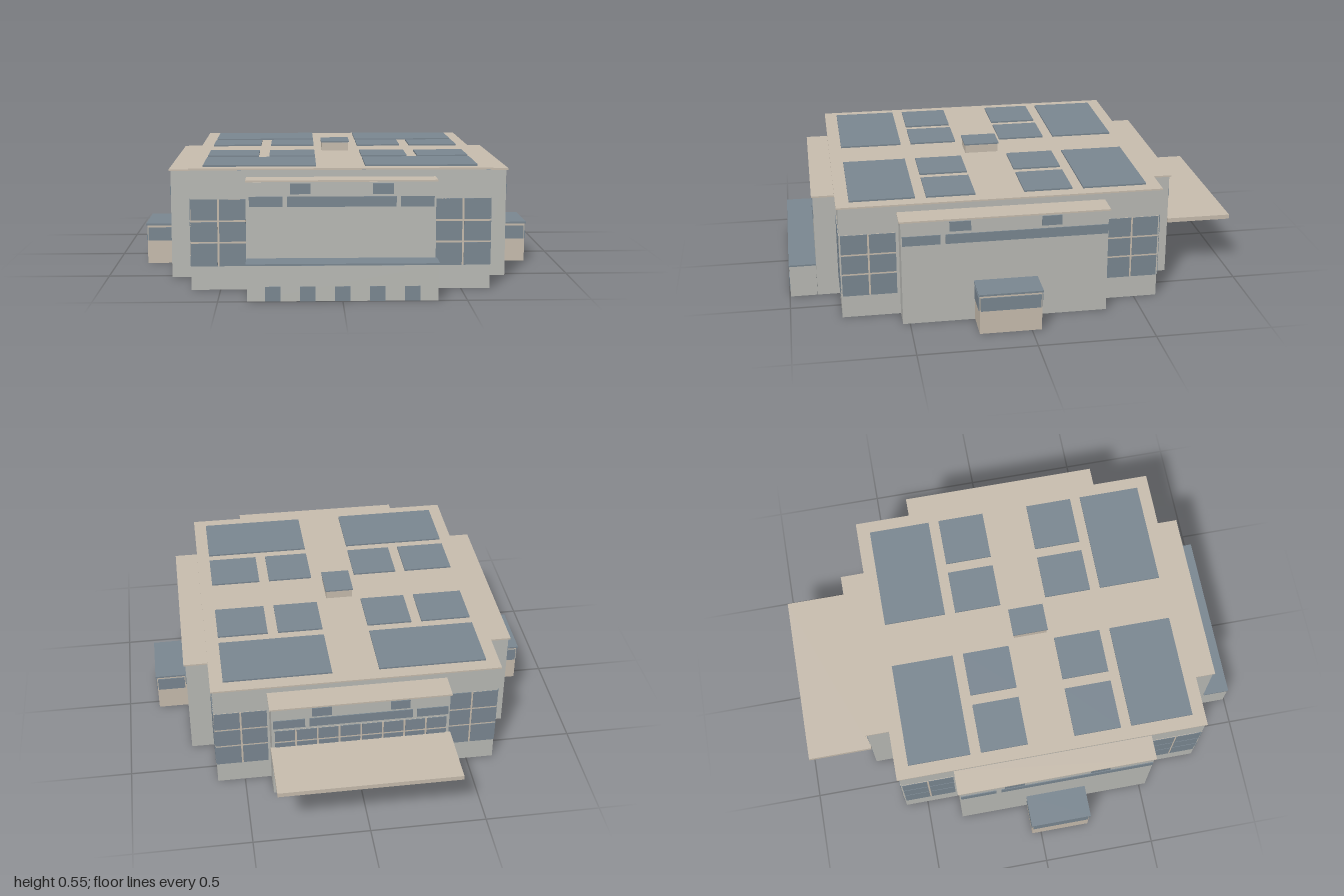
import * as THREE from 'three';

export function createModel() {
  const model = new THREE.Group();
  model.name = 'building';

  const mat = (name, color) => {
    const m = new THREE.MeshStandardMaterial({ color, side: THREE.DoubleSide });
    m.name = name;
    return m;
  };
  const wall = mat('pale grey wall', 0xbabbb6);
  const stone = mat('beige trim', 0xc9beaf);
  const glass = mat('blue grey glass', 0x7b8892);

  // Solid block given by its limits
  function block(name, x0, x1, y0, y1, z0, z1, material, parent = model) {
    const mesh = new THREE.Mesh(new THREE.BoxGeometry(x1 - x0, y1 - y0, z1 - z0), material);
    mesh.position.set((x0 + x1) / 2, (y0 + y1) / 2, (z0 + z1) / 2);
    mesh.name = name;
    parent.add(mesh);
    return mesh;
  }

  // Hollow block without a floor; the top has its own colour
  function shell(name, x0, x1, y0, y1, z0, z1, side, top, parent = model) {
    const mesh = block(name, x0, x1, y0, y1, z0, z1, [side, top], parent);
    const g = mesh.geometry;
    const index = Array.from(g.index.array);
    index.splice(18, 6);
    g.setIndex(index);
    g.clearGroups();
    g.addGroup(0, 12, 0);
    g.addGroup(12, 6, 1);
    g.addGroup(18, 12, 0);
    return mesh;
  }

  // Wall plane to hang plates on: local x runs along the wall, z points outward
  function facade(name, x, z, angle, parent = model) {
    const group = new THREE.Group();
    group.name = name;
    group.position.set(x, 0, z);
    group.rotation.y = angle;
    parent.add(group);
    return group;
  }
  const pane = (face, u0, u1, y0, y1) => block('windowPane', u0, u1, y0, y1, 0, 0.004, glass, face);

  // Window grid with beige mullions showing between the panes
  function windowGrid(face, u0, u1, columns, rows) {
    const y0 = rows[0][0], y1 = rows[rows.length - 1][1], gap = 0.008;
    block('mullions', u0, u1, y0, y1, 0, 0.002, stone, face);
    const w = (u1 - u0 + gap) / columns;
    for (let c = 0; c < columns; c++) {
      for (const [a, b] of rows) pane(face, u0 + c * w, u0 + (c + 1) * w - gap, a, b);
    }
  }

  // Main hall and its roof
  const CZ = 0.09;
  shell('mainHall', -0.62, 0.62, 0, 0.5, -0.6, 0.78, wall, glass);
  block('mainRoof', -0.627, 0.627, 0.501, 0.508, -0.609, 0.787, stone);

  // Corner windows of the main hall
  const cornerRows = [[0.1, 0.195], [0.203, 0.285], [0.293, 0.38]];
  const hallFaces = [
    facade('hallFront', 0, 0.78, 0), facade('hallBack', 0, -0.6, Math.PI),
    facade('hallLeft', 0.62, CZ, Math.PI / 2), facade('hallRight', -0.62, CZ, -Math.PI / 2),
  ];
  hallFaces.forEach((face, i) => {
    const [a, b] = i < 2 ? [0.393, 0.62] : [0.453, 0.685];
    windowGrid(face, a, b, 2, cornerRows);
    windowGrid(face, -b, -a, 2, cornerRows);
  });

  // Projecting wings on the four sides
  shell('frontWing', -0.383, 0.383, 0, 0.464, 0.78, 0.878, wall, stone);
  block('frontWingRoof', -0.39, 0.39, 0.465, 0.472, 0.781, 0.884, stone);
  shell('backWing', -0.383, 0.383, 0, 0.464, -0.71, -0.6, wall, stone);
  block('backWingRoof', -0.39, 0.39, 0.465, 0.472, -0.718, -0.601, stone);
  for (const s of [-1, 1]) {
    const xs = (a, b) => (s > 0 ? [a, b] : [-b, -a]);
    shell('sideWing', ...xs(0.62, 0.723), 0, 0.464, -0.35, 0.53, wall, stone);
    block('sideWingRoof', ...xs(0.621, 0.731), 0.465, 0.472, -0.357, 0.537, stone);

    // Side porch with a window band round three faces
    shell('sidePorch', ...xs(0.724, 0.862), 0, 0.174, -0.042, 0.222, stone, glass);
    block('sidePorchRoof', ...xs(0.725, 0.868), 0.175, 0.183, -0.047, 0.227, glass);
    const mid = 0.796 * s;
    pane(facade('porchFront', mid, 0.222, 0), -0.062, 0.062, 0.105, 0.165);
    pane(facade('porchBack', mid, -0.042, Math.PI), -0.062, 0.062, 0.105, 0.165);
    pane(facade('porchSide', 0.862 * s, CZ, s * Math.PI / 2), -0.128, 0.128, 0.105, 0.165);

    // Ribbon windows of the side wing
    const face = facade('sideWingFace', 0.723 * s, CZ, s * Math.PI / 2);
    pane(face, -0.435, -0.275, 0.36, 0.402);
    pane(face, -0.253, 0.438, 0.36, 0.402);
    pane(face, -0.237, -0.146, 0.415, 0.458);
    pane(face, 0.154, 0.24, 0.415, 0.458);
  }

  // Ribbon windows of the front and back wings
  const frontFace = facade('frontWingFace', 0, 0.878, 0);
  const backFace = facade('backWingFace', 0, -0.71, Math.PI);
  for (const face of [frontFace, backFace]) {
    pane(face, -0.222, 0.222, 0.363, 0.405);
    for (const s of [-1, 1]) {
      pane(face, s * 0.308 - 0.068, s * 0.308 + 0.068, 0.363, 0.405);
      pane(face, s * 0.168 - 0.042, s * 0.168 + 0.042, 0.415, 0.458);
    }
  }

  // Window wall and canopy at the back
  windowGrid(backFace, -0.37, 0.37, 8, [[0.1, 0.195], [0.203, 0.285], [0.293, 0.35]]);
  block('backCanopy', -0.39, 0.39, 0.242, 0.262, -1, -0.711, stone);

  // Low front annex with small windows at ground level
  shell('frontAnnex', -0.383, 0.383, 0, 0.144, 0.879, 0.996, wall, glass);
  block('frontAnnexRoof', -0.388, 0.388, 0.145, 0.152, 0.88, 0.998, glass);
  const annexFace = facade('annexFace', 0, 0.996, 0);
  for (let i = -2; i <= 2; i++) pane(annexFace, i * 0.14 - 0.031, i * 0.14 + 0.031, 0, 0.06);

  // Skylights, mirrored across the roof
  for (const s of [-1, 1]) {
    for (const t of [-1, 1]) {
      const skylight = (a, b, c, d) => {
        const x = s * (a + b) / 2, z = CZ + t * (c + d) / 2;
        const w = (b - a) / 2, h = (d - c) / 2;
        block('skylight', x - w, x + w, 0.507, 0.515, z - h, z + h, glass);
      };
      skylight(0.102, 0.57, 0.362, 0.64);
      skylight(0.102, 0.302, 0.105, 0.315);
      skylight(0.348, 0.57, 0.105, 0.315);
    }
  }

  // Central roof box
  shell('roofBox', -0.067, 0.053, 0.495, 0.545, 0.017, 0.168, stone, glass);
  block('roofBoxLid', -0.071, 0.057, 0.546, 0.552, 0.013, 0.172, glass);

  return model;
}
